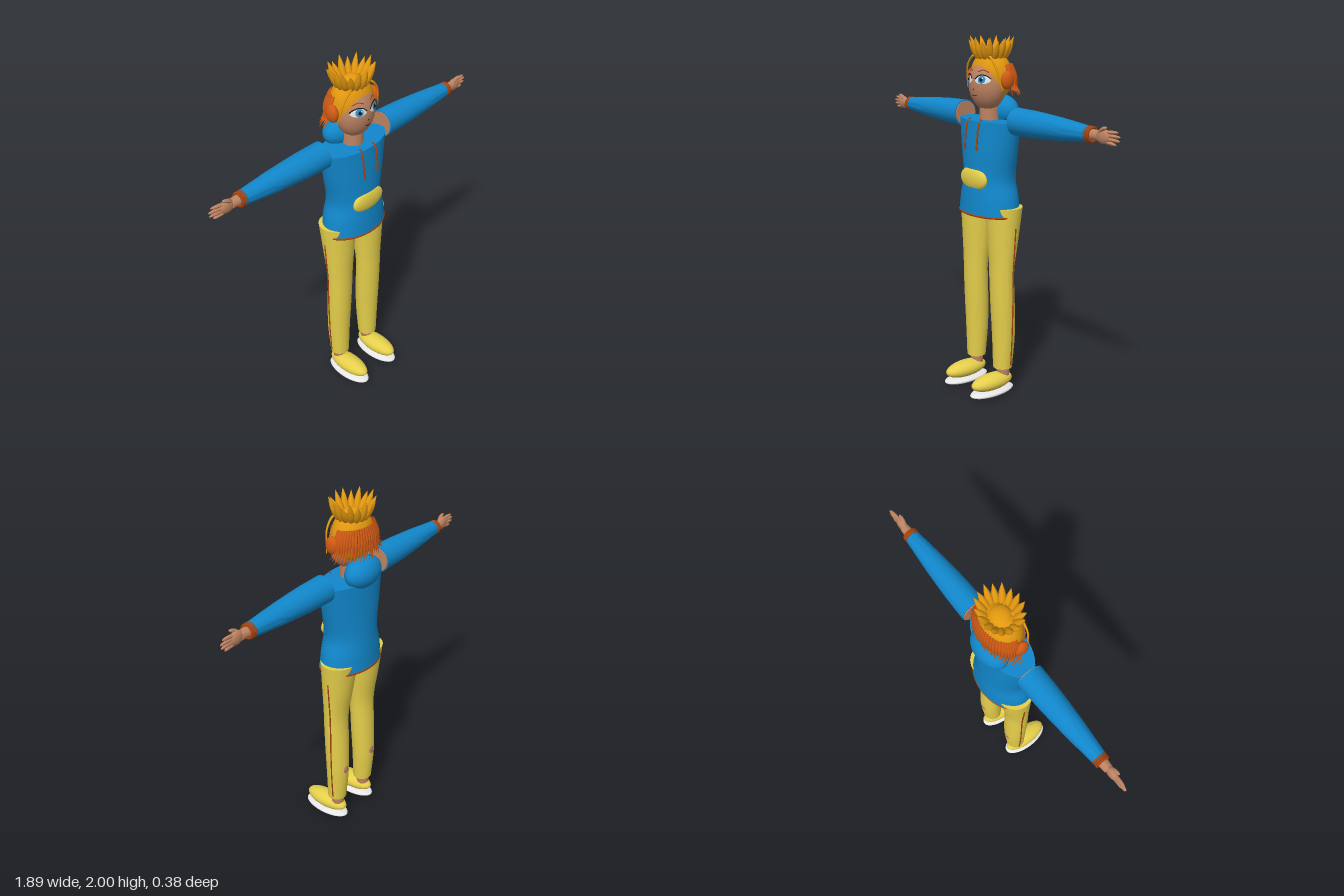
import * as THREE from 'three';
import { mergeVertices, toCreasedNormals } from 'three/addons/utils/BufferGeometryUtils.js';

const V = (x, y, z) => new THREE.Vector3(x, y, z);

function makeMaterial(name, color, side = THREE.FrontSide) {
  const m = new THREE.MeshStandardMaterial({ color, side });
  m.name = name;
  return m;
}

// Smooth body from elliptical sections [y, cx, cz, rx, rz], bottom to top
function loft(sections) {
  const centre = new THREE.CatmullRomCurve3(sections.map(s => V(s[1], s[0], s[2])));
  const radius = new THREE.CatmullRomCurve3(sections.map(s => V(s[3], 0, s[4])));
  const g = new THREE.CylinderGeometry(1, 1, 1, 36, (sections.length - 1) * 4);
  const p = g.attributes.position;
  for (let i = 0; i < p.count; i++) {
    const t = p.getY(i) + 0.5, c = centre.getPoint(t), r = radius.getPoint(t);
    p.setXYZ(i, c.x + p.getX(i) * r.x, c.y, c.z + p.getZ(i) * r.z);
  }
  g.deleteAttribute('uv');
  g.deleteAttribute('normal');
  return toCreasedNormals(mergeVertices(g), 0.9);
}

// Tube whose radius follows profile(t) along a curve
function strand(points, radius, profile = () => 1, segments = 10, sides = 8) {
  const curve = new THREE.CatmullRomCurve3(points);
  const g = new THREE.TubeGeometry(curve, segments, radius, sides);
  const p = g.attributes.position, v = V(0, 0, 0);
  for (let i = 0; i < p.count; i++) {
    const t = Math.floor(i / (sides + 1)) / segments, c = curve.getPointAt(t);
    v.fromBufferAttribute(p, i).sub(c).multiplyScalar(profile(t)).add(c);
    p.setXYZ(i, v.x, v.y, v.z);
  }
  g.computeVertexNormals();
  return g;
}

function ellipsoid(x, y, z, rx, ry, rz) {
  return new THREE.SphereGeometry(1, 32, 20).scale(rx, ry, rz).translate(x, y, z);
}

// Face ellipsoid and its surface depth
const FACE = { y: 1.745, z: -0.02, rx: 0.115, ry: 0.14, rz: 0.094 };
function faceZ(x, y) {
  const k = 1 - (x / FACE.rx) ** 2 - ((y - FACE.y) / FACE.ry) ** 2;
  return FACE.z + FACE.rz * Math.sqrt(Math.max(0, k));
}

// Thin oval lying on the face
function facePatch(x, y, rx, ry, lift) {
  const g = new THREE.RingGeometry(0, 1, 28, 5).scale(rx, ry, 1).translate(x, y, 0);
  const p = g.attributes.position;
  for (let i = 0; i < p.count; i++) p.setZ(i, faceZ(p.getX(i), p.getY(i)) + lift);
  g.computeVertexNormals();
  return g;
}

function faceLine(points, radius) {
  return strand(points.map(([x, y]) => V(x, y, faceZ(x, y) + 0.003)), radius, () => 1, 12, 6);
}

export function createModel() {
  const model = new THREE.Group();
  model.name = 'figure';
  const blue = makeMaterial('hoodieBlue', 0x1187cb);
  const yellow = makeMaterial('trouserYellow', 0xe5cf4b);
  const gold = makeMaterial('hairGold', 0xe3980f);
  const orange = makeMaterial('hairOrange', 0xd25a14);
  const trim = makeMaterial('trimRust', 0xa8430f);
  const skin = makeMaterial('skin', 0xbd8362);
  const white = makeMaterial('white', 0xe6e6e6, THREE.DoubleSide);
  const iris = makeMaterial('irisBlue', 0x2c93cf, THREE.DoubleSide);
  const dark = makeMaterial('dark', 0x1c1512, THREE.DoubleSide);

  const add = (name, geometry, material) => {
    const mesh = new THREE.Mesh(geometry, material);
    mesh.name = name;
    model.add(mesh);
    return mesh;
  };

  // Hoodie
  add('torso', loft([
    [1.04, 0, -0.035, 0.205, 0.14], [1.14, 0, -0.035, 0.19, 0.135], [1.24, 0, -0.035, 0.165, 0.128],
    [1.40, 0, -0.035, 0.192, 0.122], [1.555, 0, -0.036, 0.22, 0.113]]), blue);
  add('hem', new THREE.TorusGeometry(1, 0.035, 8, 48).rotateX(Math.PI / 2)
    .scale(0.202, 0.2, 0.137).translate(0, 1.043, -0.035), trim);
  add('hood', ellipsoid(0, 1.6, -0.115, 0.122, 0.085, 0.076), blue);
  add('pocket', ellipsoid(0, 1.24, 0.075, 0.11, 0.065, 0.029), yellow);

  // Neck and head
  add('neck', new THREE.CylinderGeometry(0.054, 0.056, 0.16, 28).translate(0, 1.61, -0.035), skin);
  add('face', ellipsoid(0, FACE.y, FACE.z, FACE.rx, FACE.ry, FACE.rz), skin);
  add('hairCap', ellipsoid(0, 1.785, -0.045, 0.128, 0.14, 0.1), gold);
  add('nose', facePatch(0, 1.722, 0.005, 0.003, 0.003), dark);
  add('mouth', faceLine([[-0.014, 1.69], [0, 1.687], [0.014, 1.69]], 0.002), dark);

  // Crown of pointed hair tufts
  add('crownTop', ellipsoid(0, 1.895, -0.045, 0.06, 0.035, 0.055), gold);
  const leaf = t => Math.max(0.02, Math.sin(Math.PI * (0.2 + 0.8 * t)));
  for (let i = 0; i < 17; i++) {
    const a = (i / 17) * Math.PI * 2, c = Math.sin(a), s = Math.cos(a);
    const top = i % 2 ? 1.975 : 1.995;
    add('crownTuft', strand([
      V(c * 0.06, 1.865, -0.045 + s * 0.05),
      V(c * 0.09, 1.91, -0.045 + s * 0.078),
      V(c * 0.135, top, -0.045 + s * 0.11)], 0.019, leaf), gold);
  }

  // Fringe of strands round the back of the head
  const taper = t => Math.max(0.03, 1 - t * t);
  for (let i = 0; i <= 26; i++) {
    const a = (i / 26 - 0.5) * Math.PI * 1.02, c = Math.sin(a), s = -Math.cos(a);
    const end = 1.665 + 0.03 * Math.abs(c) + (i % 3) * 0.012;
    add('backStrand', strand([
      V(c * 0.118, 1.85, -0.058 + s * 0.072),
      V(c * 0.148, 1.79, -0.058 + s * 0.094),
      V(c * 0.16, 1.73, -0.058 + s * 0.098),
      V(c * 0.195, end, -0.06 + s * 0.098)], 0.0115, taper, 10, 6), orange);
  }

  for (const s of [-1, 1]) {
    // Eyes and brows
    const ex = s * 0.053, ey = 1.775;
    add('eyeWhite', facePatch(ex, ey, 0.042, 0.023, 0.002), white);
    add('iris', facePatch(ex, ey, 0.02, 0.021, 0.004), iris);
    add('pupil', facePatch(ex, ey, 0.009, 0.01, 0.006), dark);
    add('eyeGlint', facePatch(ex + 0.007, ey + 0.008, 0.004, 0.004, 0.008), white);
    add('upperLash', faceLine([[s * 0.012, 1.776], [s * 0.032, 1.794], [s * 0.056, 1.799],
      [s * 0.08, 1.792], [s * 0.095, 1.778]], 0.003), dark);
    add('brow', faceLine([[s * 0.022, 1.815], [s * 0.05, 1.824], [s * 0.08, 1.813]], 0.0025), trim);

    // Ear puffs and the locks framing the face
    add('earPuff', ellipsoid(s * 0.147, 1.773, -0.035, 0.026, 0.048, 0.038), orange);
    add('faceLock', strand([V(s * 0.02, 1.905, 0), V(s * 0.075, 1.89, 0.02), V(s * 0.122, 1.835, 0.02),
      V(s * 0.138, 1.77, 0.01), V(s * 0.15, 1.72, 0)], 0.008, t => 1.05 - 0.8 * t, 16), gold);

    // Drawstring
    add('drawstring', strand([V(s * 0.048, 1.565, 0.06), V(s * 0.05, 1.54, 0.08),
      V(s * 0.051, 1.47, 0.091), V(s * 0.05, 1.4, 0.096)], 0.005), trim);

    // Sleeve, open at the shoulder, with cuff rings
    const sleeve = loft([[0.222, 0, 0, 0.073, 0.073], [0.36, 0, 0, 0.07, 0.07],
      [0.55, 0, 0, 0.058, 0.058], [0.75, 0, 0, 0.039, 0.039]]);
    add('sleeve', sleeve.rotateZ(-s * Math.PI / 2).translate(0, 1.565, -0.04), blue);
    add('shoulder', new THREE.CylinderGeometry(0.067, 0.067, 0.008, 32).rotateZ(Math.PI / 2)
      .translate(s * 0.221, 1.565, -0.04), skin);
    for (const x of [0.744, 0.756, 0.768]) {
      add('cuff', new THREE.TorusGeometry(0.034, 0.007, 8, 28).rotateY(Math.PI / 2)
        .translate(s * x, 1.565, -0.04), trim);
    }

    // Hand
    add('wrist', new THREE.CylinderGeometry(0.024, 0.03, 0.07, 20).rotateZ(-s * Math.PI / 2)
      .translate(s * 0.78, 1.565, -0.04), skin);
    add('palm', ellipsoid(s * 0.84, 1.565, -0.04, 0.045, 0.036, 0.02), skin);
    const finger = t => Math.sqrt(Math.max(0.01, 1 - t ** 4));
    [0.93, 0.945, 0.942, 0.92].forEach((x, i) => {
      const k = 1.5 - i;
      add('finger', strand([V(s * 0.85, 1.563 + k * 0.015, -0.04), V(s * 0.895, 1.563 + k * 0.018, -0.041),
        V(s * x, 1.562 + k * 0.02, -0.044)], 0.0095, finger), skin);
    });
    add('thumb', strand([V(s * 0.815, 1.578, -0.035), V(s * 0.842, 1.6, -0.03),
      V(s * 0.872, 1.611, -0.028)], 0.011, finger), skin);

    // Trouser leg with side piping and worn calf patch
    add('trouserLeg', loft([
      [0.15, s * 0.12, -0.035, 0.055, 0.054], [0.34, s * 0.12, -0.04, 0.066, 0.064],
      [0.53, s * 0.118, -0.034, 0.073, 0.066], [0.72, s * 0.116, -0.028, 0.077, 0.064],
      [0.91, s * 0.113, -0.038, 0.092, 0.082], [1.09, s * 0.11, -0.047, 0.109, 0.098]]), yellow);
    add('piping', strand([V(s * 0.176, 0.17, -0.048), V(s * 0.186, 0.34, -0.048), V(s * 0.191, 0.53, -0.048),
      V(s * 0.193, 0.72, -0.048), V(s * 0.205, 0.91, -0.048), V(s * 0.21, 0.98, -0.048)], 0.004, () => 1, 30, 6), trim);
    add('calfPatch', ellipsoid(s * 0.12, 0.37, -0.07, 0.034, 0.055, 0.0385), skin);

    // Ankle and shoe
    add('ankle', new THREE.CylinderGeometry(0.038, 0.036, 0.1, 24).translate(s * 0.12, 0.125, -0.038), skin);
    add('shoe', ellipsoid(s * 0.12, 0.078, 0.043, 0.06, 0.047, 0.14), yellow);
    add('sole', ellipsoid(s * 0.12, 0.022, 0.043, 0.068, 0.022, 0.148), white);
  }
  return model;
}
